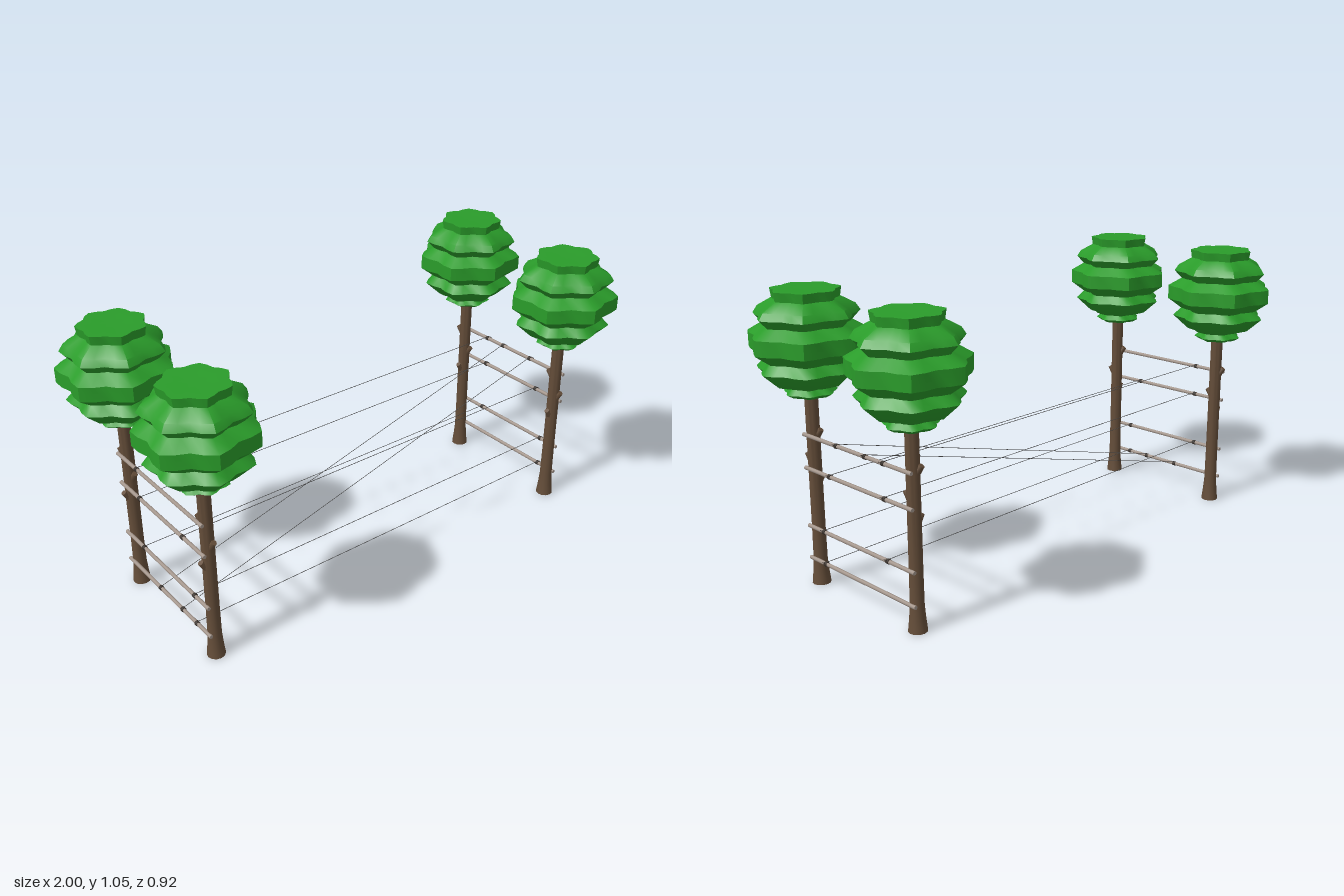
import * as THREE from 'three';
import { mergeVertices, toCreasedNormals } from 'three/addons/utils/BufferGeometryUtils.js';

const mat = (color) => new THREE.MeshStandardMaterial({ color });
const BARK = mat(0x644d39), LEAF = mat(0x2a9c2a), POLE = mat(0xa3958b), KNOT = mat(0x3a322c), STRING = mat(0x4a4a4a);

const TREE_X = [-0.817, 0.797];
const TREE_Z = 0.26;
const POLE_OUT = 0.025; // poles stand just outside the -x / +x side of the trunks
const poleX = [TREE_X[0] - POLE_OUT, TREE_X[1] + POLE_OUT];
const POLE_Y = [0.097, 0.217, 0.43, 0.55];
const POLE_R = 0.007;

function mesh(name, geometry, material) {
  const m = new THREE.Mesh(geometry, material);
  m.name = name;
  return m;
}

// Straight rod between two points
function rod(name, a, b, r0, r1, sides, material) {
  const dir = b.clone().sub(a);
  const m = mesh(name, new THREE.CylinderGeometry(r1, r0, dir.length(), sides), material);
  m.position.copy(a).add(b).multiplyScalar(0.5);
  m.quaternion.setFromUnitVectors(new THREE.Vector3(0, 1, 0), dir.normalize());
  return m;
}

const lathe = (points, sides) => new THREE.LatheGeometry(points.map(([r, y]) => new THREE.Vector2(r, y)), sides);

// Ridged ball of leaves with seven lobes around it
function crownGeometry() {
  const g = lathe([
    [0, 0.695], [0.07, 0.69], [0.092, 0.703], [0.072, 0.72], [0.122, 0.735], [0.18, 0.787],
    [0.15, 0.817], [0.203, 0.855], [0.203, 0.908], [0.152, 0.938], [0.181, 0.968], [0.165, 0.992],
    [0.115, 1.02], [0.12, 1.052], [0.06, 1.052], [0, 1.05],
  ], 28);
  const p = g.attributes.position;
  for (let i = 0; i < p.count; i++) {
    const x = p.getX(i), z = p.getZ(i);
    const k = 0.925 + 0.075 * Math.cos(7 * Math.atan2(z, x));
    p.setXYZ(i, x * k, p.getY(i), z * k);
  }
  g.deleteAttribute('normal');
  g.deleteAttribute('uv');
  return toCreasedNormals(mergeVertices(g, 1e-5), 0.75);
}

// Slim trunk flared at the foot
function trunkGeometry() {
  const g = lathe([[0, 0], [0.033, 0], [0.028, 0.045], [0.0245, 0.09], [0.0235, 0.2], [0.023, 0.72]], 12);
  return toCreasedNormals(g, 0.6);
}

function createTree(crownGeo, trunkGeo) {
  const tree = new THREE.Group();
  tree.name = 'tree';
  tree.add(mesh('trunk', trunkGeo, BARK), mesh('crown', crownGeo, LEAF));
  // Cut branch stubs: direction angle in the ground plane and height
  for (const [angle, y] of [[1.35, 0.465], [Math.PI, 0.385], [-2.0, 0.555]]) {
    const c = Math.cos(angle), s = Math.sin(angle);
    tree.add(rod('branchStub', new THREE.Vector3(c * 0.012, y - 0.012, s * 0.012),
      new THREE.Vector3(c * 0.031, y + 0.014, s * 0.031), 0.014, 0.01, 7, BARK));
  }
  return tree;
}

// Dark binding wrapped around a pole, with a short loose end
function createKnot(x, y, z, side) {
  const knot = new THREE.Group();
  knot.name = 'knot';
  const wrap = mesh('wrap', new THREE.CylinderGeometry(0.0088, 0.0088, 0.013, 10), KNOT);
  wrap.rotation.x = Math.PI / 2;
  knot.add(wrap, rod('looseEnd', new THREE.Vector3(side * 0.007, 0.005, 0),
    new THREE.Vector3(side * 0.008, 0.004, 0.014), 0.0018, 0.0012, 5, KNOT));
  knot.position.set(x, y, z);
  return knot;
}

export function createModel() {
  const model = new THREE.Group();
  model.name = 'treesWithStrungPoles';
  const crownGeo = crownGeometry(), trunkGeo = trunkGeometry();

  TREE_X.forEach((x, end) => {
    for (const z of [TREE_Z, -TREE_Z]) {
      const tree = createTree(crownGeo, trunkGeo);
      tree.position.set(x, 0, z);
      model.add(tree);
    }
    // Ladder of cross poles between the two trees of each end
    for (const y of POLE_Y) {
      model.add(rod('crossPole', new THREE.Vector3(poleX[end], y, 0.28),
        new THREE.Vector3(poleX[end], y, -0.283), POLE_R, POLE_R, 10, POLE));
    }
  });

  // Strings: [z, pole at the -x end, pole at the +x end]
  const strings = [
    [-0.147, 3, 3], [0.142, 2, 2], [-0.147, 2, 2], [0.19, 1, 1], [-0.153, 1, 1], [0.19, 0, 0],
    [0.096, 0, 3], [-0.055, 0, 3],
  ];
  for (const [z, i, j] of strings) {
    const ya = POLE_Y[i], yb = POLE_Y[j];
    model.add(rod('string', new THREE.Vector3(poleX[0], ya + POLE_R, z),
      new THREE.Vector3(poleX[1], yb + POLE_R, z), 0.0011, 0.0011, 5, STRING));
    model.add(createKnot(poleX[0], ya, z, -1), createKnot(poleX[1], yb, z, 1));
  }
  return model;
}
